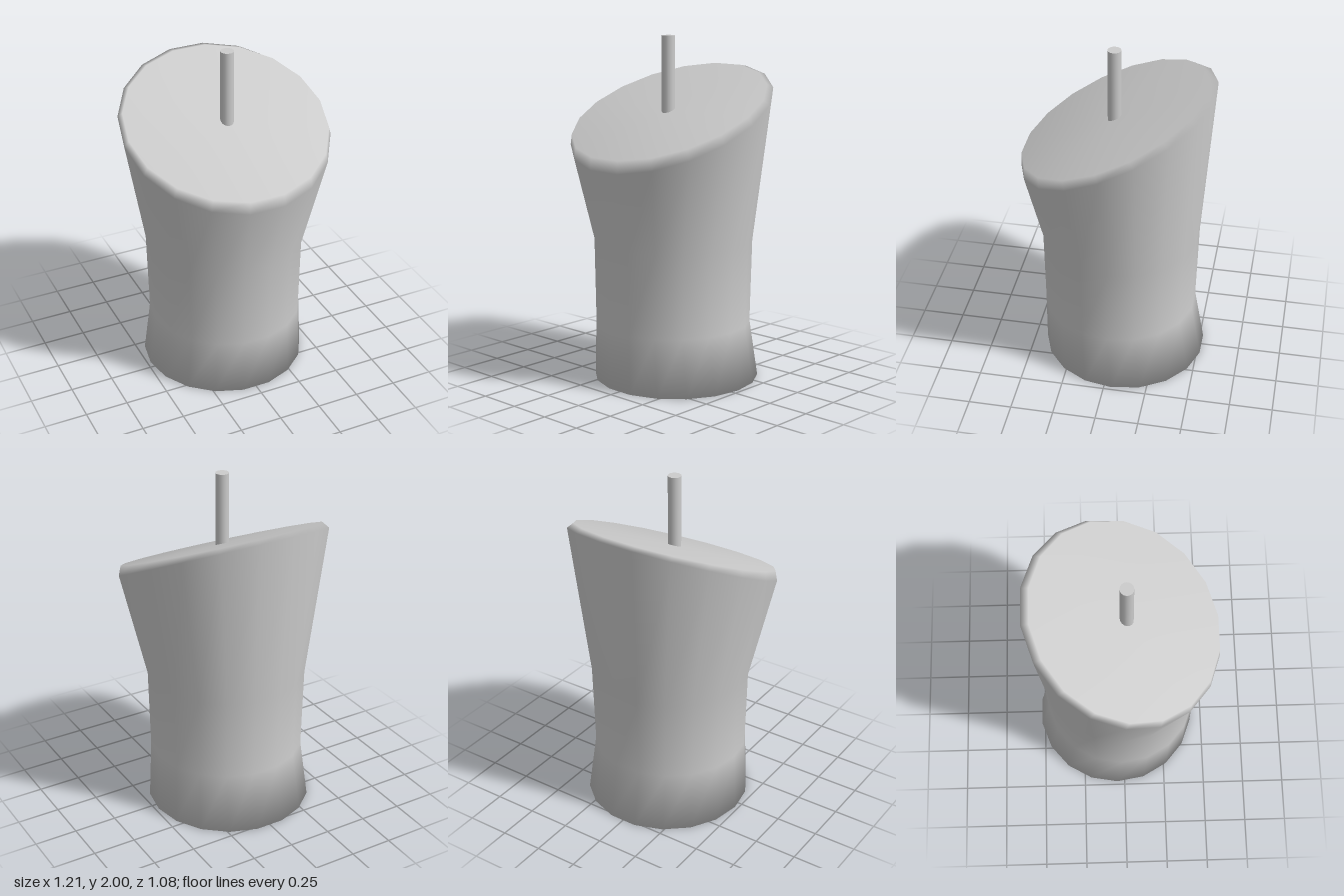
import * as THREE from 'three';

const SIDES = 18;

// Elliptical rings from bottom to top; tilt is the drop in height per unit of z
const RINGS = [
  { y: 0, z: -0.045, rx: 0.48, rz: 0.482, tilt: 0 },
  { y: 0.34, z: -0.015, rx: 0.45, rz: 0.452, tilt: 0 },
  { y: 0.82, z: -0.018, rx: 0.46, rz: 0.46, tilt: 0 },
  { y: 1.54, z: 0.002, rx: 0.605, rz: 0.546, tilt: 0.484 }, // widest line below the rim
  { y: 1.58, z: 0.022, rx: 0.585, rz: 0.521, tilt: 0.444 }, // bevelled rim
];

function createBodyGeometry() {
  const positions = [];
  const index = [];
  for (const r of RINGS) {
    for (let i = 0; i < SIDES; i++) {
      const a = (i / SIDES) * Math.PI * 2;
      const dz = Math.sin(a) * r.rz;
      positions.push(Math.cos(a) * r.rx, r.y - r.tilt * dz, r.z + dz);
    }
  }
  const top = RINGS[RINGS.length - 1];
  const bottomCentre = positions.length / 3;
  const topCentre = bottomCentre + 1;
  positions.push(0, 0, RINGS[0].z, 0, top.y, top.z);

  const lastRing = (RINGS.length - 1) * SIDES;
  for (let i = 0; i < SIDES; i++) {
    const j = (i + 1) % SIDES;
    // walls
    for (let k = 0; k < lastRing; k += SIDES) {
      index.push(k + i, k + SIDES + i, k + j, k + j, k + SIDES + i, k + SIDES + j);
    }
    // base and slanted top
    index.push(bottomCentre, i, j);
    index.push(topCentre, lastRing + j, lastRing + i);
  }
  const geometry = new THREE.BufferGeometry();
  geometry.setAttribute('position', new THREE.Float32BufferAttribute(positions, 3));
  geometry.setIndex(index);
  geometry.computeVertexNormals();
  return geometry;
}

export function createModel() {
  const group = new THREE.Group();
  const material = new THREE.MeshStandardMaterial({ color: 0xcccccc });

  // Waisted body with a slanted top
  const body = new THREE.Mesh(createBodyGeometry(), material);
  body.name = 'body';
  group.add(body);

  // Upright rod standing in the middle of the slanted top
  const rod = new THREE.Mesh(new THREE.CylinderGeometry(0.038, 0.038, 0.46, 16), material);
  rod.name = 'rod';
  rod.position.set(0, 1.77, 0.022);
  group.add(rod);

  return group;
}
